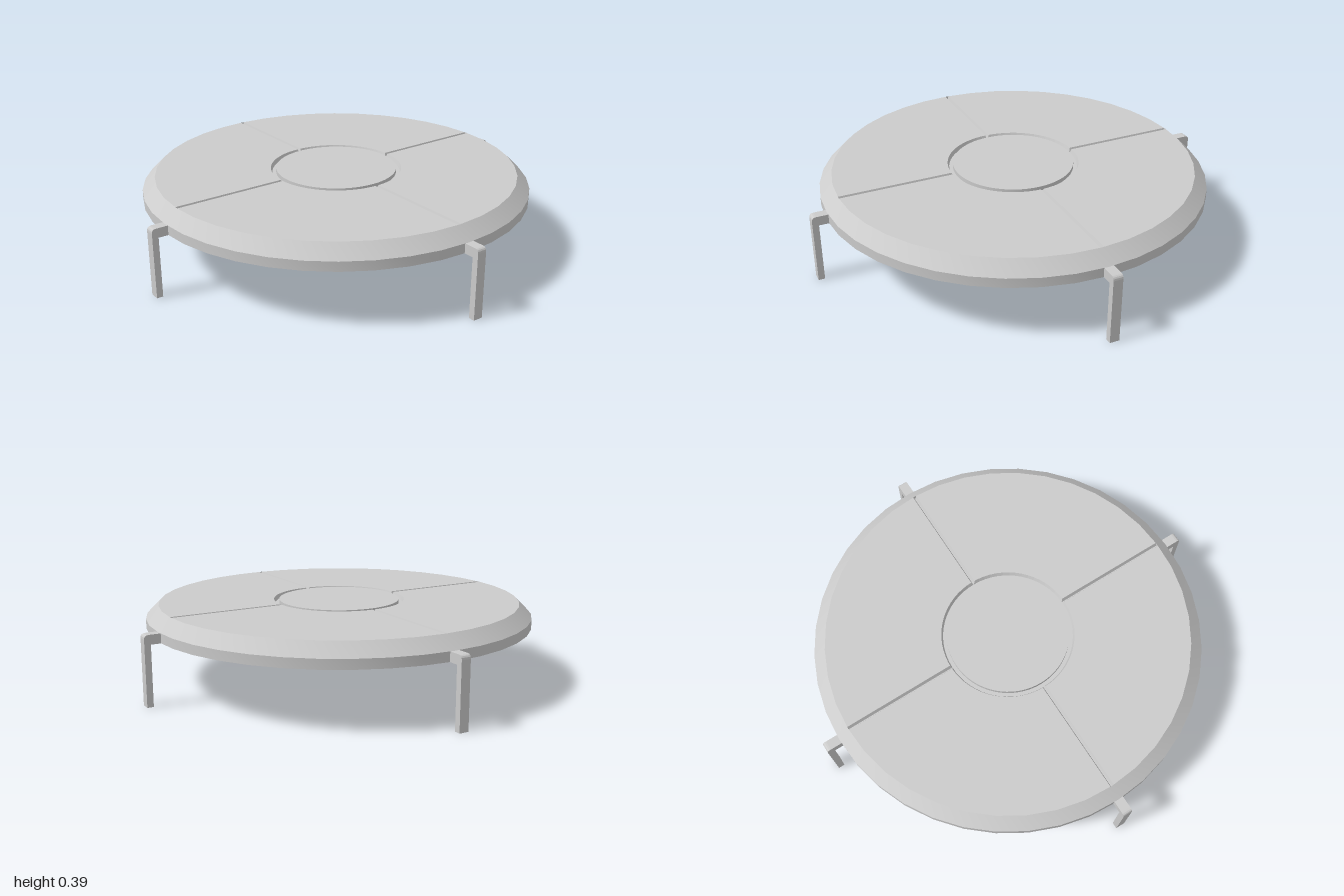
import * as THREE from 'three';
import { toCreasedNormals } from 'three/addons/utils/BufferGeometryUtils.js';

const SIDES = 40;
const TOP = 0.39, FLOOR = 0.37, BOTTOM = 0.285, SHOULDER = 0.33;
const R_OUTER = 0.925, R_TOP = 0.865, R_RING = 0.315, R_CENTRE = 0.29;
const GAP = 0.009; // half the width of a radial groove

export function createModel() {
  const group = new THREE.Group();
  const material = new THREE.MeshStandardMaterial({ color: 0xcccccc });
  const add = (name, geometry, parent = group) => {
    const mesh = new THREE.Mesh(geometry, material);
    mesh.name = name;
    parent.add(mesh);
    return mesh;
  };

  // Disc with a chamfered rim and a recessed floor that shows in the grooves
  const profile = [
    [0, BOTTOM], [R_OUTER, BOTTOM], [R_OUTER, SHOULDER],
    [R_TOP, TOP], [R_TOP, FLOOR], [0, FLOOR],
  ].map(([x, y]) => new THREE.Vector2(x, y));
  add('disc', toCreasedNormals(new THREE.LatheGeometry(profile, SIDES), 0.5));

  // Round centre plate, flush with the top
  const centre = add('centrePlate', new THREE.CylinderGeometry(R_CENTRE, R_CENTRE, TOP - FLOOR, 64));
  centre.position.y = (TOP + FLOOR) / 2;

  // Quarter plates with sloping edges, leaving a ring groove and four radial grooves
  const points = [];
  const arc = (radius, steps, reverse) => {
    for (let i = 0; i <= steps; i++) {
      const a = ((reverse ? steps - i : i) / steps) * Math.PI / 2;
      points.push(new THREE.Vector2(
        Math.max(GAP, Math.min(Math.cos(a) * radius, radius - 0.0007)),
        Math.max(GAP, Math.min(Math.sin(a) * radius, radius - 0.0007))));
    }
  };
  arc(R_TOP, SIDES / 4, false);
  arc(R_RING, 16, true);
  const plate = new THREE.ExtrudeGeometry(new THREE.Shape(points), {
    depth: 0.001, bevelEnabled: true, bevelSegments: 1,
    bevelThickness: TOP - FLOOR, bevelSize: 0.007,
  });
  plate.rotateX(-Math.PI / 2);
  plate.translate(0, FLOOR - 0.001, 0);

  // Bent leg: short arm from the rim, rounded outer corner, thin upright
  const leg = new THREE.Shape();
  leg.moveTo(0.9, BOTTOM);
  leg.lineTo(0.97, BOTTOM);
  leg.lineTo(0.97, 0);
  leg.lineTo(1, 0);
  leg.lineTo(1, SHOULDER - 0.02);
  leg.quadraticCurveTo(1, SHOULDER, 0.98, SHOULDER);
  leg.lineTo(0.9, SHOULDER);
  leg.closePath();
  const legGeometry = new THREE.ExtrudeGeometry(leg, { depth: 0.046, bevelEnabled: false, curveSegments: 4 });
  legGeometry.translate(0, 0, -0.025);

  for (let i = 0; i < 4; i++) {
    add('quarterPlate', plate).rotation.y = i * Math.PI / 2;
    add('leg', legGeometry).rotation.y = i * Math.PI / 2;
  }
  return group;
}
